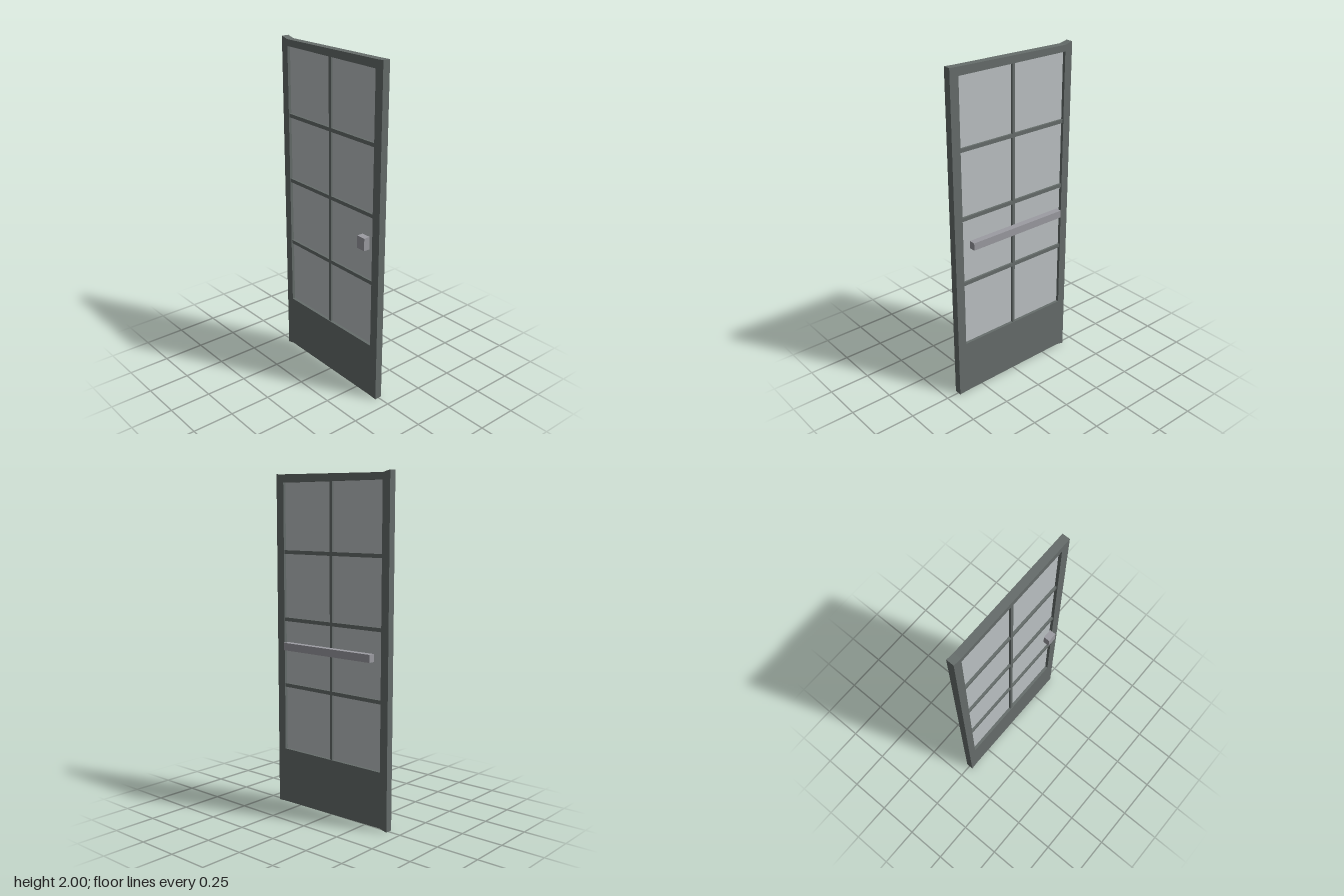
import * as THREE from 'three';

export function createModel() {
  const door = new THREE.Group();
  door.name = 'glazedDoor';
  const mat = (name, color) => {
    const m = new THREE.MeshStandardMaterial({ color });
    m.name = name;
    return m;
  };
  const frameGrey = mat('frameGrey', 0x666d6b);
  const glass = mat('paleGlass', 0xbcc2c4);
  const metal = mat('handleMetal', 0x9c9ca2);

  // Box given by its lower and upper corners
  const box = (name, material, [x0, y0, z0], [x1, y1, z1]) => {
    const mesh = new THREE.Mesh(new THREE.BoxGeometry(x1 - x0, y1 - y0, z1 - z0), material);
    mesh.position.set((x0 + x1) / 2, (y0 + y1) / 2, (z0 + z1) / 2);
    mesh.name = name;
    door.add(mesh);
  };

  const L = -0.37, R = 0.365, bottom = 0.34, top = 1.95;
  const back = -0.02, front = 0.025;

  // Stiles, top rail and kick panel, with a slight pinch beside the left stile
  const outline = new THREE.Shape([
    [-0.42, 0], [L, 0.012], [R, 0.003], [0.42, 0],
    [0.42, 2], [R, 1.998], [L, 1.988], [-0.42, 2],
  ].map(([x, y]) => new THREE.Vector2(x, y)));
  outline.holes.push(new THREE.Path([
    [L, bottom], [L, top], [R, top], [R, bottom],
  ].map(([x, y]) => new THREE.Vector2(x, y))));
  const frame = new THREE.Mesh(
    new THREE.ExtrudeGeometry(outline, { depth: front - back, bevelEnabled: false }), frameGrey);
  frame.position.z = back;
  frame.name = 'doorFrame';
  door.add(frame);

  // Glass sheet set back inside the frame
  box('glassSheet', glass, [L, bottom, -0.002], [R, top, 0.007]);

  // Glazing bars
  box('verticalGlazingBar', frameGrey, [-0.011, bottom, -0.015], [0.007, top, 0.02]);
  for (const y of [0.74, 1.144, 1.546]) {
    box('horizontalGlazingBar', frameGrey, [L, y - 0.011, -0.015], [R, y + 0.011, 0.02]);
  }

  // Lock block on the front and push bar on the back
  box('frontHandle', metal, [0.286, 0.945, front], [0.344, 1.02, 0.064]);
  box('backPushBar', metal, [-0.326, 0.965, -0.066], [0.325, 1.01, -0.027]);

  return door;
}
